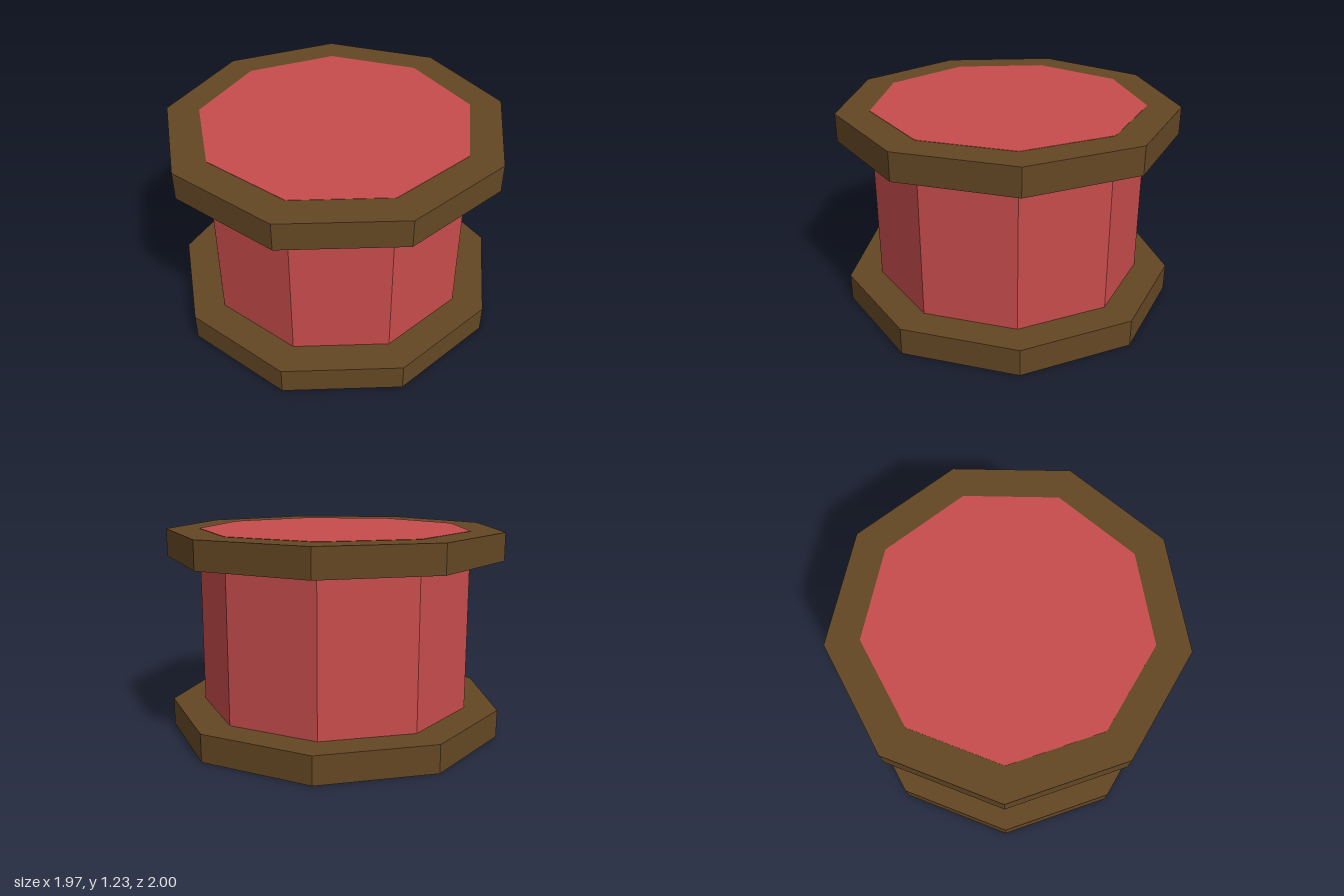
import * as THREE from 'three';

const SIDES = 9, HEIGHT = 1.23, RIM = 0.165;

export function createModel() {
  const model = new THREE.Group();
  model.name = 'spool';

  const wood = new THREE.MeshStandardMaterial({ color: 0x644724, flatShading: true });
  wood.name = 'brown wood';
  const thread = new THREE.MeshStandardMaterial({ color: 0xc84c4c, flatShading: true });
  thread.name = 'red thread';

  // Nine-sided prism with one corner pointing along +x
  const prism = (name, radius, bottom, top, material) => {
    const geometry = new THREE.CylinderGeometry(radius, radius, top - bottom, SIDES, 1, false, Math.PI / 2);
    const mesh = new THREE.Mesh(geometry, material);
    mesh.name = name;
    mesh.position.set(-0.0306, (top + bottom) / 2, 0); // centres the odd-sided outline
    model.add(mesh);
  };

  // End discs
  prism('bottomDisc', 1.0154, 0, RIM, wood);
  prism('topDisc', 1.0154, HEIGHT - RIM, HEIGHT, wood);

  // Wound core, showing through the top disc
  prism('threadCore', 0.818, 0.01, HEIGHT + 0.002, thread);

  return model;
}
